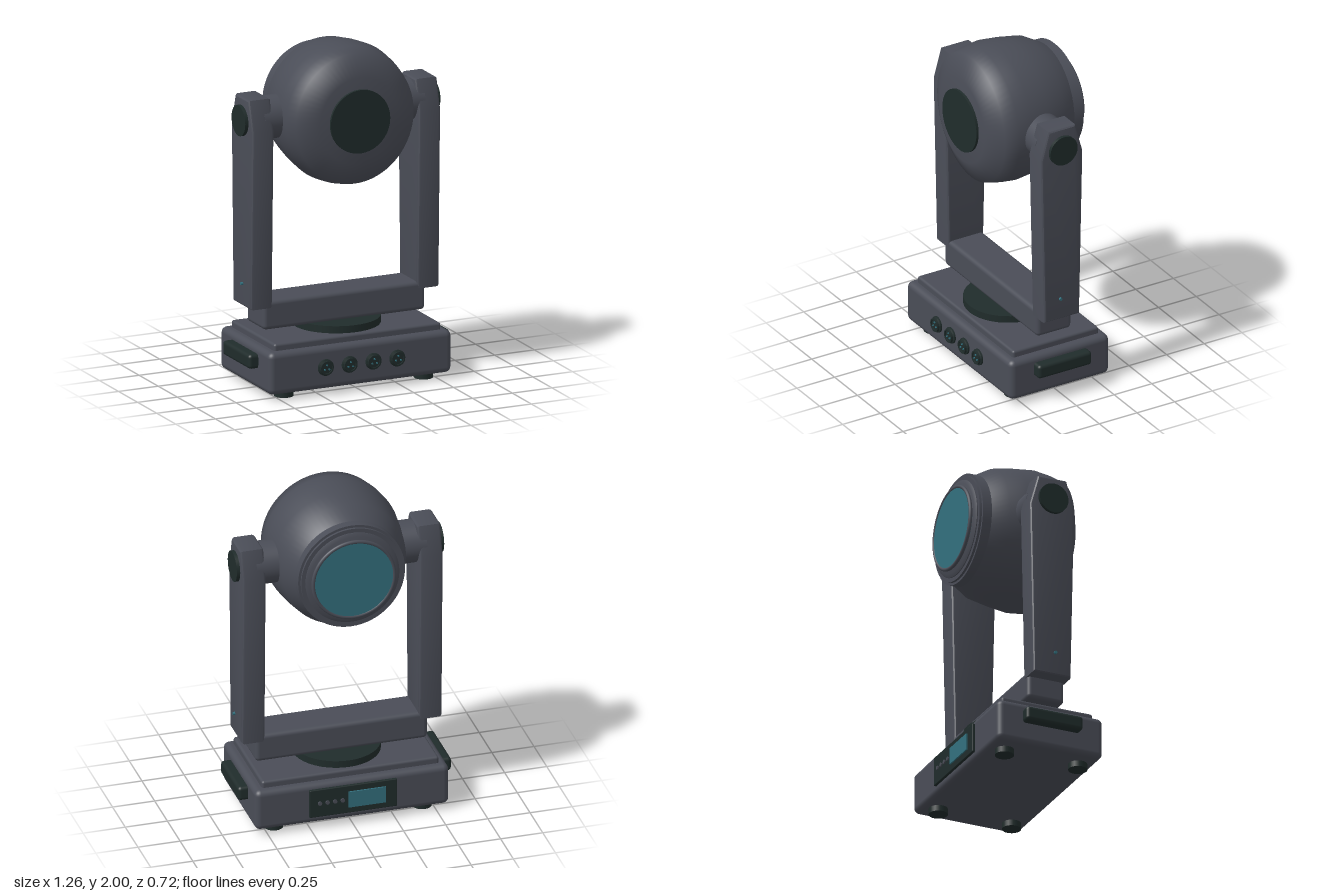
import * as THREE from 'three';
import { toCreasedNormals } from 'three/addons/utils/BufferGeometryUtils.js';
import { RoundedBoxGeometry } from 'three/addons/geometries/RoundedBoxGeometry.js';

export function createModel() {
  const group = new THREE.Group();
  const material = (name, color) => {
    const m = new THREE.MeshStandardMaterial({ color });
    m.name = name;
    return m;
  };
  const body = material('graphite housing', 0x4a4d57);
  const dark = material('dark rubber', 0x202c2b);
  const teal = material('teal glass', 0x33707e);

  const add = (name, geometry, mat, x = 0, y = 0, z = 0, parent = group) => {
    const mesh = new THREE.Mesh(geometry, mat);
    mesh.name = name;
    mesh.position.set(x, y, z);
    parent.add(mesh);
    return mesh;
  };
  const box = (w, h, d, r) => new RoundedBoxGeometry(w, h, d, 3, r);
  const cylinder = (r, h, axis = 'y', rEnd = r, sides = 40) => {
    const g = new THREE.CylinderGeometry(rEnd, r, h, sides);
    if (axis === 'x') g.rotateZ(-Math.PI / 2);
    if (axis === 'z') g.rotateX(Math.PI / 2);
    return g;
  };
  // Turned shape around the z axis from [radius, z] pairs, back to front
  const turned = (pairs) =>
    new THREE.LatheGeometry(pairs.map((p) => new THREE.Vector2(...p)), 64).rotateX(Math.PI / 2);

  // Base
  add('base', box(1.15, 0.25, 0.66, 0.035), body, 0, 0.16, 0);
  add('baseTopPlate', box(1.05, 0.08, 0.57, 0.015), body, 0, 0.285, 0);
  add('turntable', cylinder(0.255, 0.05), dark, 0, 0.342, 0);
  for (const x of [-0.44, 0.44]) {
    for (const z of [-0.23, 0.23]) add('foot', cylinder(0.055, 0.05, 'y', 0.055, 24), dark, x, 0.025, z);
  }
  for (const s of [-1, 1]) add('carryHandle', box(0.075, 0.085, 0.355, 0.02), dark, s * 0.595, 0.203, 0);

  // Front sockets, each with a collar, a recessed face and three pins
  for (let i = 0; i < 4; i++) {
    const socket = new THREE.Group();
    socket.name = 'socket';
    socket.position.set(-0.225 + i * 0.15, 0.165, 0.33);
    group.add(socket);
    const collar = turned([[0.048, -0.005], [0.048, 0.01], [0.04, 0.014], [0.04, 0.026], [0.032, 0.026], [0.032, 0.016]]);
    add('socketCollar', toCreasedNormals(collar, 0.5), dark, 0, 0, 0, socket);
    add('socketFace', cylinder(0.034, 0.02, 'z'), dark, 0, 0, 0.008, socket);
    for (let k = 0; k < 3; k++) {
      const a = Math.PI / 2 + (k * Math.PI * 2) / 3;
      add('socketPin', cylinder(0.005, 0.008, 'z', 0.005, 10), teal,
        0.017 * Math.cos(a), 0.017 * Math.sin(a), 0.021, socket);
    }
  }

  // Rear control panel
  add('controlPanel', box(0.52, 0.175, 0.02, 0.005), dark, 0, 0.167, -0.335);
  add('screen', new THREE.BoxGeometry(0.22, 0.1, 0.009), teal, -0.08, 0.168, -0.349);
  for (let i = 0; i < 4; i++) {
    add('panelButton', cylinder(0.012, 0.01, 'z', 0.012, 16), body, 0.065 + i * 0.045, 0.168, -0.348);
  }

  // Yoke: crossbar and two tapering arms
  add('yokeBar', box(1.02, 0.17, 0.23, 0.025), body, 0, 0.445, 0);
  const half = [[0.118, 0.49], [0.14, 1.54], [0.09, 1.72]];
  const outline = [...half, ...half.map(([z, y]) => [-z, y]).reverse()];
  const bevel = 0.018;
  const arm = toCreasedNormals(
    new THREE.ExtrudeGeometry(new THREE.Shape(outline.map((p) => new THREE.Vector2(...p))), {
      depth: 0.14 - 2 * bevel, bevelThickness: bevel, bevelSize: bevel, bevelOffset: -bevel, bevelSegments: 3,
    }).translate(0, 0, -(0.14 - 2 * bevel) / 2).rotateY(Math.PI / 2), 0.5);
  const headY = 1.585;
  for (const s of [-1, 1]) {
    add('yokeArm', arm, body, s * 0.525, 0, 0);
    add('tiltPivot', cylinder(0.125, 0.17, 'x'), body, s * 0.42, headY, 0);
    add('pivotCap', cylinder(0.09, 0.04, 'x'), dark, s * 0.595, headY, 0);
    add('indicatorLight', cylinder(0.009, 0.02, 'x', 0.009, 12), teal, s * 0.598, 0.625, 0.015);
  }

  // Head shell, slightly narrower than tall
  const head = new THREE.Group();
  head.name = 'head';
  head.position.y = headY;
  group.add(head);
  const shell = turned([[0.325, -0.255], [0.38, -0.16], [0.402, -0.04], [0.415, 0.075], [0.405, 0.16],
    [0.385, 0.245], [0.255, 0.308], [0, 0.308]]);
  add('headShell', shell, body, 0, 0, 0, head).scale.x = 0.965;
  add('endCap', cylinder(0.187, 0.03, 'z'), dark, 0, 0, 0.308, head);

  // Stepped lens surround and lens
  const steps = turned([[0, -0.335], [0.265, -0.335], [0.285, -0.325], [0.285, -0.32], [0.31, -0.32],
    [0.31, -0.306], [0.325, -0.306], [0.325, -0.25], [0.3, -0.25]]);
  add('lensSurround', toCreasedNormals(steps, 0.5), body, 0, 0, 0, head).scale.x = 0.975;
  add('lensRim', new THREE.TorusGeometry(0.24, 0.011, 12, 64), body, 0, 0, -0.349, head);
  add('lens', cylinder(0.236, 0.025, 'z', 0.236, 64), teal, 0, 0, -0.343, head);

  return group;
}
